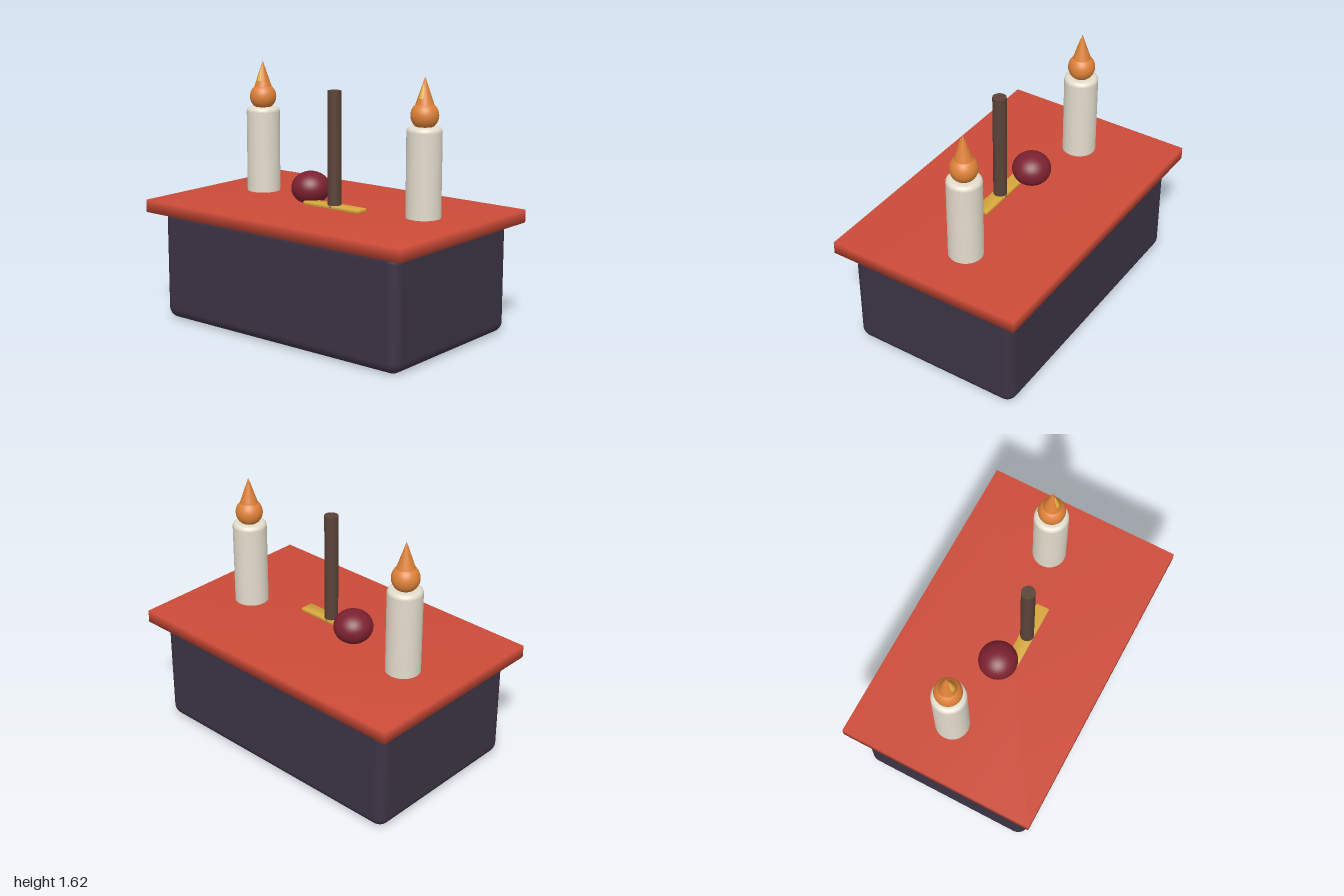
import * as THREE from 'three';
import { mergeVertices } from 'three/addons/utils/BufferGeometryUtils.js';
import { RoundedBoxGeometry } from 'three/addons/geometries/RoundedBoxGeometry.js';

const material = (name, color) => {
  const m = new THREE.MeshStandardMaterial({ color });
  m.name = name;
  return m;
};

// Box whose eight corners share averaged normals
function softBox(w, h, d) {
  const g = new THREE.BoxGeometry(w, h, d);
  g.deleteAttribute('normal');
  g.deleteAttribute('uv');
  const merged = mergeVertices(g);
  merged.computeVertexNormals();
  return merged;
}

// Upright cylinder profile with a rounded top rim, standing on y = 0
function roundedCylinder(radius, height, rim) {
  const points = [new THREE.Vector2(0, 0), new THREE.Vector2(radius, 0), new THREE.Vector2(radius, 0.002)];
  for (let i = 0; i <= 6; i++) {
    const a = (i / 6) * Math.PI / 2;
    points.push(new THREE.Vector2(radius - rim + rim * Math.cos(a), height - rim + rim * Math.sin(a)));
  }
  points.push(new THREE.Vector2(0, height));
  return new THREE.LatheGeometry(points, 40);
}

export function createModel() {
  const model = new THREE.Group();
  model.name = 'altarTable';

  const plum = material('dark plum', 0x3c3344);
  const red = material('cloth red', 0xcc4b38);
  const wax = material('ivory wax', 0xe2dccb);
  const orange = material('flame orange', 0xdd8138);
  const yellow = material('flame yellow', 0xf0c040);
  const crimson = material('fruit crimson', 0x7c2130);
  const brown = material('stick brown', 0x5a4337);
  const gold = material('holder gold', 0xd9a83c);

  const add = (parent, name, geometry, mat, x, y, z) => {
    const mesh = new THREE.Mesh(geometry, mat);
    mesh.name = name;
    mesh.position.set(x, y, z);
    parent.add(mesh);
    return mesh;
  };

  // Table body and overhanging top
  add(model, 'tableBody', new RoundedBoxGeometry(1.85, 0.72, 1.14, 6, 0.07), plum, 0, 0.363, 0);
  add(model, 'tableTop', softBox(2, 0.08, 1.28), red, 0, 0.736, 0);

  // Pair of lit candles
  for (const side of [-1, 1]) {
    const candle = new THREE.Group();
    candle.name = side > 0 ? 'leftCandle' : 'rightCandle';
    candle.position.set(side * 0.642, 0.77, -0.07);
    add(candle, 'wax', roundedCylinder(0.107, 0.555, 0.03), wax, 0, 0, 0);
    add(candle, 'flameBulb', new THREE.SphereGeometry(0.085, 32, 20), orange, 0, 0.62, 0);
    add(candle, 'flameTip', new THREE.ConeGeometry(0.056, 0.165, 32), orange, 0, 0.7675, 0);
    add(candle, 'flameCore', new THREE.ConeGeometry(0.03, 0.095, 20), yellow, 0, 0.77, 0.015);
    model.add(candle);
  }

  // Offering fruit, slightly flattened
  add(model, 'fruit', new THREE.SphereGeometry(0.123, 40, 24), crimson, -0.18, 0.86, 0).scale.y = 0.86;

  // Stick standing on a thin holder
  add(model, 'stickHolder', softBox(0.43, 0.03, 0.085), gold, 0.07, 0.782, 0.07);
  add(model, 'stick', new THREE.CylinderGeometry(0.043, 0.043, 0.72, 24), brown, 0.07, 1.142, 0.07);

  return model;
}
